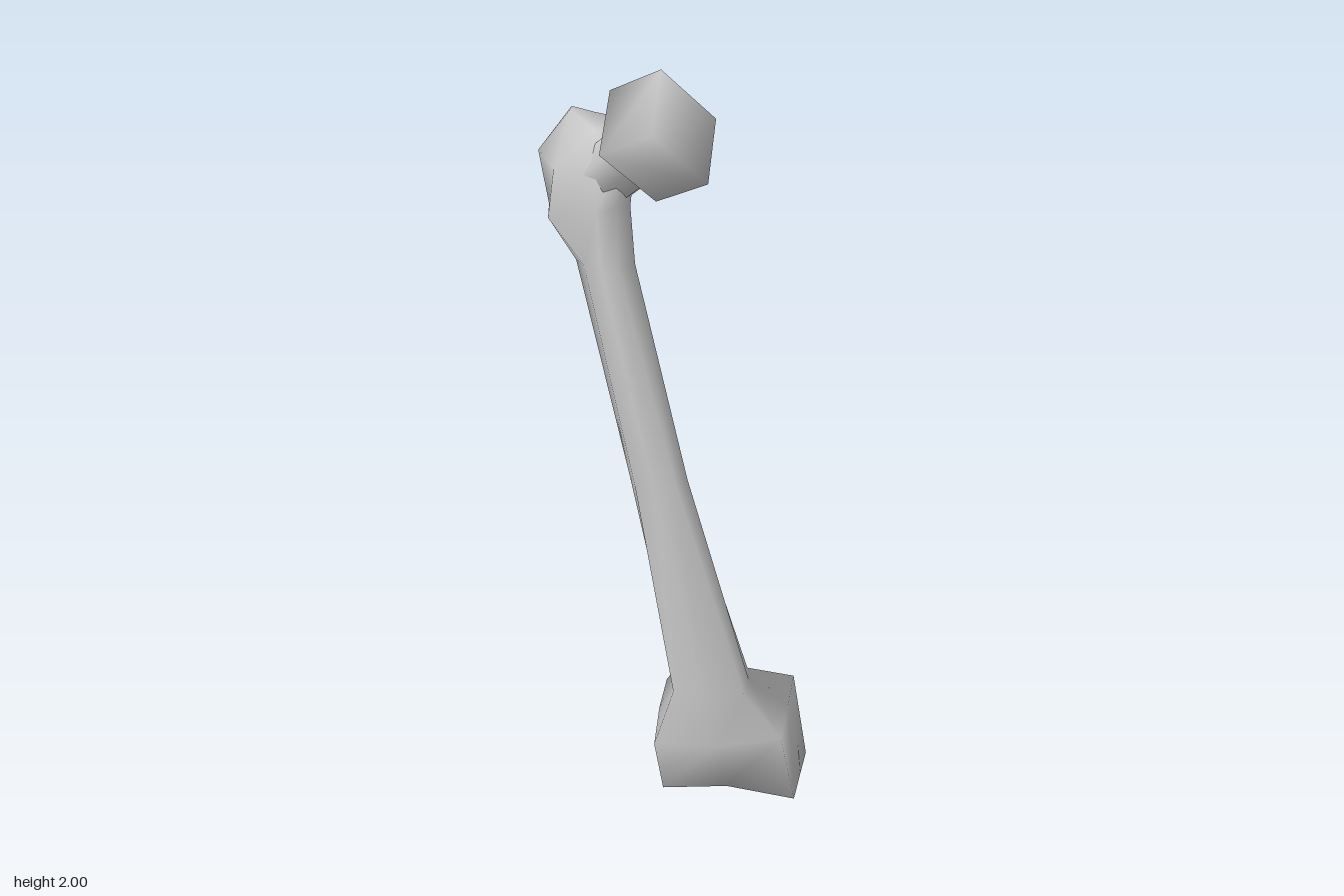
import * as THREE from 'three';
import { mergeVertices } from 'three/addons/utils/BufferGeometryUtils.js';

const material = new THREE.MeshStandardMaterial({ color: 0xcccccc });

// Level ring at height y from x, z pairs
const level = (y, pairs) => pairs.map(([x, z]) => [x, y, z]);

// Smooth closed skin over a stack of eight-point rings, bottom to top.
// Rings start at the front right, run along the front to the left side, then the back.
function loft(rings) {
  const n = rings[0].length;
  const index = [];
  for (let r = 0; r < rings.length - 1; r++) {
    for (let i = 0; i < n; i++) {
      const a = r * n + i, b = r * n + (i + 1) % n;
      index.push(a, b, b + n, a, b + n, a + n);
    }
  }
  // Each cap is two fans meeting on the front-to-back line (points 1 and 5)
  const top = (rings.length - 1) * n;
  const fans = [[1, 2, 3], [1, 3, 4], [1, 4, 5], [1, 5, 6], [1, 6, 7], [1, 7, 0]];
  for (const [a, b, c] of fans) {
    index.push(a, c, b, top + a, top + b, top + c);
  }
  const geo = new THREE.BufferGeometry();
  geo.setAttribute('position', new THREE.Float32BufferAttribute(rings.flat(2), 3));
  geo.setIndex(index);
  geo.computeVertexNormals();
  return geo;
}

function addMesh(group, name, geometry) {
  const mesh = new THREE.Mesh(geometry, material);
  mesh.name = name;
  group.add(mesh);
  return mesh;
}

export function createModel() {
  const bone = new THREE.Group();
  bone.name = 'thighBone';

  // Knee end: two condyles with a notch between them
  const kneeRings = [
    [[-0.03, 0.03, 0.04], [0.15, 0.065, 0.06], [0.335, 0.03, 0.045], [0.345, 0.025, -0.08],
      [0.355, 0.02, -0.2], [0.15, 0.065, -0.2], [-0.035, 0, -0.21], [-0.035, 0.02, -0.08]],
    [[-0.05, 0.19, 0.07], [0.12, 0.21, 0.092], [0.295, 0.23, 0.06], [0.305, 0.25, -0.08],
      [0.31, 0.25, -0.24], [0.13, 0.23, -0.245], [-0.06, 0.2, -0.255], [-0.06, 0.2, -0.1]],
  ];

  // Shaft: boxy above the knee, round in the middle, slanted oval below the hip
  const shaftRings = [
    level(0.37, [[0.005, 0.085], [0.09, 0.1], [0.195, 0.08], [0.2, 0],
      [0.19, -0.065], [0.1, -0.075], [0.005, -0.07], [0, 0]]),
    level(0.98, [[-0.09, 0.107], [-0.04, 0.125], [0.015, 0.105], [0.038, 0.06],
      [0.015, 0.015], [-0.035, 0], [-0.09, 0.018], [-0.108, 0.065]]),
    level(1.52, [[-0.22, 0.035], [-0.175, 0.055], [-0.135, 0.045], [-0.1, 0],
      [-0.15, -0.05], [-0.2, -0.095], [-0.245, -0.1], [-0.25, -0.02]]),
  ];

  // Hip end: flares outward and back into the trochanter
  const hipRings = [
    [[-0.31, 1.63, 0.012], [-0.18, 1.66, 0.075], [-0.13, 1.68, 0.09], [-0.105, 1.67, 0.03],
      [-0.13, 1.68, -0.07], [-0.19, 1.66, -0.125], [-0.28, 1.66, -0.14], [-0.32, 1.65, -0.05]],
    [[-0.295, 1.75, 0], [-0.18, 1.78, 0.065], [-0.13, 1.79, 0.06], [-0.095, 1.79, 0],
      [-0.12, 1.79, -0.1], [-0.165, 1.79, -0.165], [-0.28, 1.79, -0.19], [-0.355, 1.77, -0.105]],
    [[-0.255, 1.885, -0.02], [-0.19, 1.845, 0.015], [-0.15, 1.83, 0.02], [-0.12, 1.82, -0.04],
      [-0.135, 1.83, -0.11], [-0.16, 1.845, -0.155], [-0.215, 1.865, -0.11], [-0.255, 1.89, -0.04]],
  ];
  addMesh(bone, 'shaft', loft([...kneeRings, ...shaftRings, ...hipRings]));

  // Short neck running from the hip end into the head
  const start = new THREE.Vector3(-0.16, 1.74, -0.005);
  const end = new THREE.Vector3(-0.06, 1.825, 0.075);
  const axis = end.clone().sub(start);
  const neck = addMesh(bone, 'neck', new THREE.CylinderGeometry(0.078, 0.078, axis.length(), 8));
  neck.position.copy(start).add(end).multiplyScalar(0.5);
  neck.quaternion.setFromUnitVectors(new THREE.Vector3(0, 1, 0), axis.normalize());

  // Blocky joint head: a tilted box with shared, smooth corners
  let head = new THREE.BoxGeometry(1, 1, 1);
  head.deleteAttribute('normal');
  head.deleteAttribute('uv');
  head = mergeVertices(head);
  const tilt = new THREE.Matrix4().makeBasis(
    new THREE.Vector3(0.115, -0.125, -0.1),
    new THREE.Vector3(0, -0.12, 0.155),
    new THREE.Vector3(-0.13, -0.06, -0.07),
  ).setPosition(-0.0275, 1.8475, 0.0925);
  head.applyMatrix4(tilt);
  head.computeVertexNormals();
  addMesh(bone, 'head', head);

  return bone;
}
